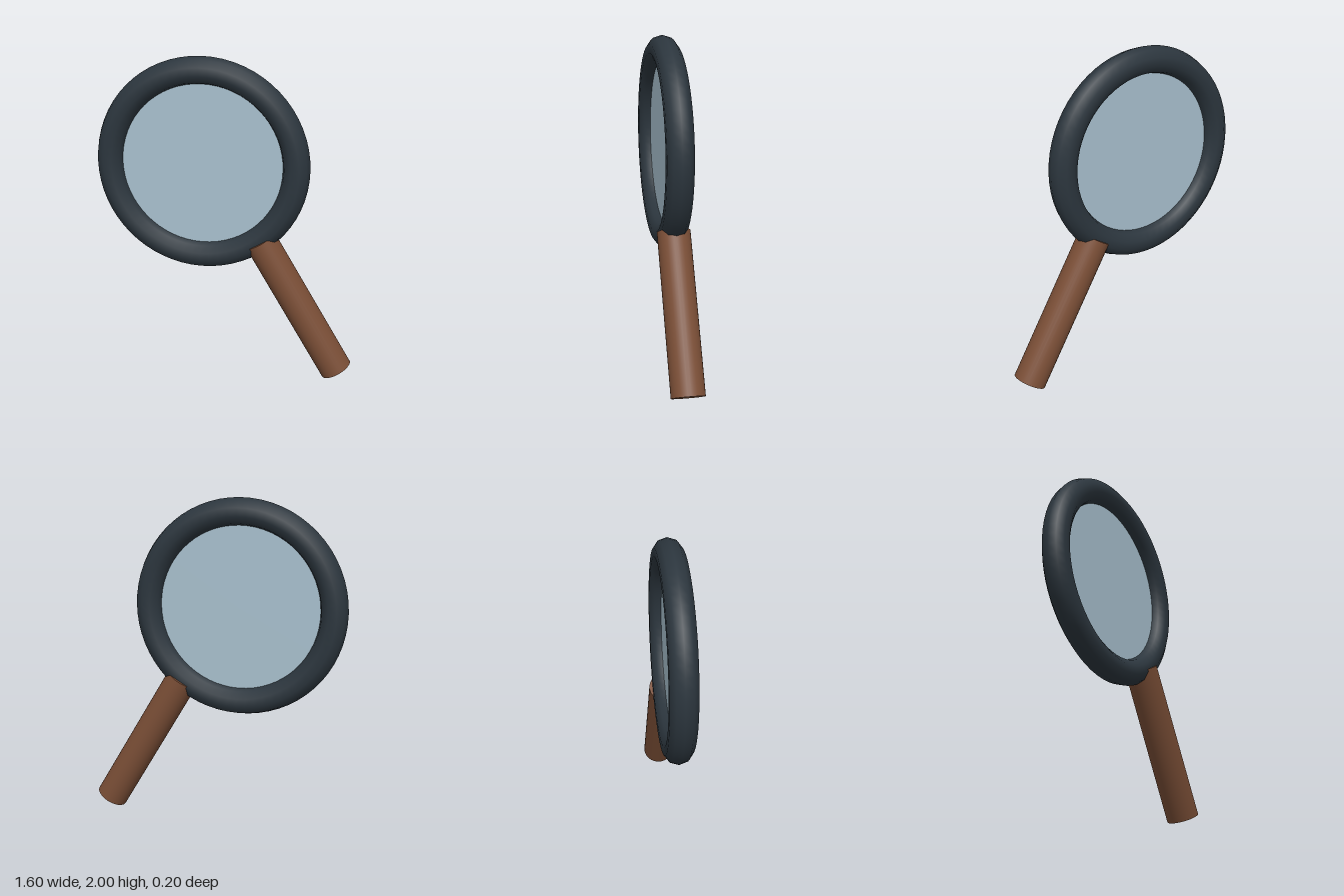
import * as THREE from 'three';

export function createModel() {
  const model = new THREE.Group();
  model.name = 'magnifyingGlass';

  const mat = (name, color) => new THREE.MeshStandardMaterial({ name, color });
  const frame = mat('darkFrame', 0x2c363e);
  const glass = mat('paleGlass', 0xa8c0ce);
  const wood = mat('brownWood', 0x7a4e36);

  const add = (name, geometry, material, parent) => {
    const mesh = new THREE.Mesh(geometry, material);
    mesh.name = name;
    parent.add(mesh);
    return mesh;
  };

  // Round head: ten-sided rim with a thin lens across its middle
  const head = new THREE.Group();
  head.name = 'head';
  head.position.set(-0.145, 1.345, 0);
  model.add(head);
  add('rim', new THREE.TorusGeometry(0.5725, 0.0825, 10, 64), frame, head);
  const lens = add('lens', new THREE.CylinderGeometry(0.5, 0.5, 0.02, 64), glass, head);
  lens.rotation.x = Math.PI / 2;

  // Handle: straight round bar whose upper end sinks into the rim
  const bottom = new THREE.Vector3(0.712, 0.055, 0);
  const top = new THREE.Vector3(0.218, 0.885, 0);
  const along = top.clone().sub(bottom);
  const handle = add('handle', new THREE.CylinderGeometry(0.1, 0.1, along.length(), 32), wood, model);
  handle.position.copy(bottom).add(top).multiplyScalar(0.5);
  handle.quaternion.setFromUnitVectors(new THREE.Vector3(0, 1, 0), along.normalize());

  return model;
}
